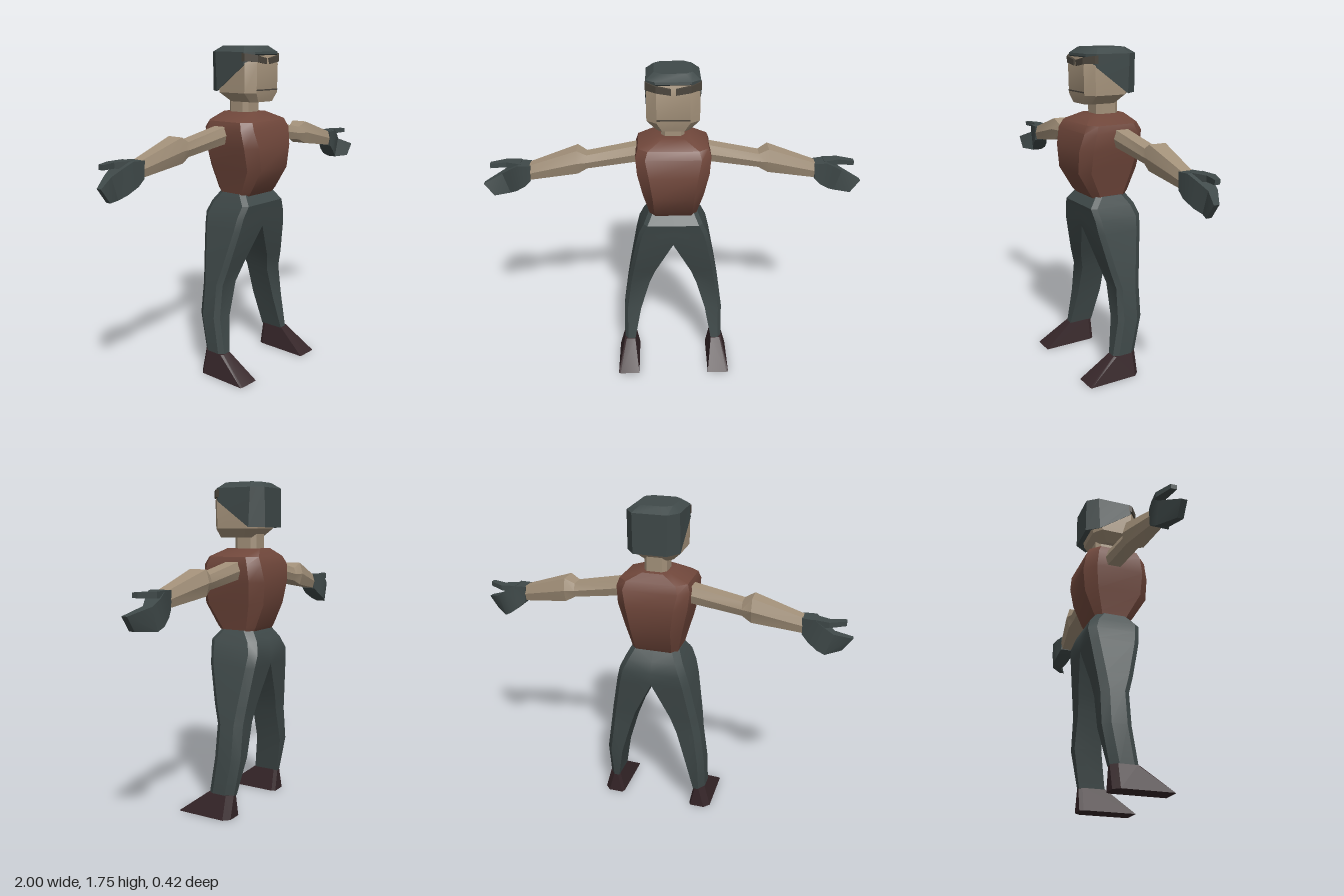
import * as THREE from 'three';
import { mergeVertices, toCreasedNormals } from 'three/addons/utils/BufferGeometryUtils.js';

const mat = (name, color) => Object.assign(new THREE.MeshStandardMaterial({ color }), { name });

// Skin a closed solid over cross-sections; every section is a loop of [x, y, z].
function loft(rings, crease = 0.45) {
  const n = rings[0].length;
  const pos = rings.flat(2);
  const index = [];
  for (let r = 0; r < rings.length - 1; r++) {
    for (let i = 0; i < n; i++) {
      const a = r * n + i, b = r * n + (i + 1) % n;
      index.push(a, b, b + n, a, b + n, a + n);
    }
  }
  const last = (rings.length - 1) * n;
  for (let i = 1; i < n - 1; i++) index.push(0, i + 1, i, last, last + i, last + i + 1);
  // Turn the faces outward when the solid came out inverted
  const p = (i) => new THREE.Vector3().fromArray(pos, i * 3);
  let volume = 0;
  for (let i = 0; i < index.length; i += 3) {
    volume += p(index[i]).dot(p(index[i + 1]).cross(p(index[i + 2])));
  }
  if (volume < 0) index.reverse();
  const geo = new THREE.BufferGeometry();
  geo.setAttribute('position', new THREE.Float32BufferAttribute(pos, 3));
  geo.setIndex(index);
  return toCreasedNormals(mergeVertices(geo), crease);
}

// Horizontal octagon: half width, front z, back z and corner cuts
const octagon = (y, w, f, b, cx, cf, cb = cf) => [
  [w - cx, y, f], [w, y, f - cf], [w, y, b + cb], [w - cx, y, b],
  [cx - w, y, b], [-w, y, b + cb], [-w, y, f - cf], [cx - w, y, f],
];

// Leg section: square inner side, bevelled outer side
const legRing = ([y, xi, xo, f, b]) => [
  [xi, y, f], [xo - 0.02, y, f], [xo, y, f - 0.028],
  [xo, y, b + 0.04], [xo - 0.03, y, b], [xi, y, b],
];

// Arm section across x, with narrower top and bottom
const armRing = ([x, top, low, f, b]) => {
  const inset = (f - b) * 0.14, mid = (top + low) / 2;
  return [[x, top, f - inset], [x, mid, f], [x, low, f - inset],
    [x, low, b + inset], [x, mid, b], [x, top, b + inset]];
};

// Four-cornered section whose top and bottom may lie at different x
const slantRing = ([xt, yt, xb, yb, f, b]) => [[xt, yt, f], [xb, yb, f], [xb, yb, b], [xt, yt, b]];

export function createModel() {
  const skin = mat('skin', 0xa3917a);
  const cloth = mat('dark slate', 0x3f4949);
  const shirt = mat('rust shirt', 0x70473b);
  const leather = mat('dark shoe', 0x362629);
  const browColor = mat('brow', 0x4b453c);

  const model = new THREE.Group();
  model.name = 'figure';
  const add = (name, rings, material, crease) => {
    const mesh = new THREE.Mesh(loft(rings, crease), material);
    mesh.name = name;
    model.add(mesh);
  };

  // Torso
  add('torso', [
    octagon(0.975, 0.125, 0.07, -0.125, 0.03, 0.03),
    octagon(1.0, 0.13, 0.09, -0.14, 0.03, 0.04),
    octagon(1.12, 0.157, 0.163, -0.19, 0.05, 0.05, 0.06),
    octagon(1.24, 0.185, 0.166, -0.207, 0.06, 0.05, 0.06),
    octagon(1.33, 0.193, 0.145, -0.195, 0.05, 0.045, 0.055),
    octagon(1.37, 0.18, 0.125, -0.175, 0.05, 0.04, 0.05),
    octagon(1.412, 0.085, 0.06, -0.14, 0.03, 0.03),
  ], shirt, 0.6);

  // Neck and head
  add('neck', [
    octagon(1.39, 0.06, 0.02, -0.11, 0.02, 0.025),
    octagon(1.5, 0.06, 0.02, -0.11, 0.02, 0.025),
  ], skin);
  add('head', [
    octagon(1.468, 0.085, 0.1, -0.09, 0.03, 0.03),
    octagon(1.515, 0.133, 0.112, -0.14, 0.05, 0.04),
    octagon(1.66, 0.133, 0.116, -0.165, 0.05, 0.04),
    octagon(1.72, 0.125, 0.1, -0.165, 0.045, 0.04),
  ], skin);

  // Hair: lower edge slopes from the temples down to the nape
  const hairLine = [1.71, 1.655, 1.52, 1.52, 1.52, 1.52, 1.655, 1.71];
  add('hair', [
    octagon(0, 0.137, 0.108, -0.186, 0.05, 0.038, 0.07).map(([x, , z], i) => [x, hairLine[i], z]),
    octagon(1.722, 0.135, 0.106, -0.185, 0.045, 0.035, 0.06),
    octagon(1.752, 0.095, 0.07, -0.14, 0.035, 0.03),
  ], cloth);

  // Mouth line
  const mouth = new THREE.Mesh(new THREE.BoxGeometry(0.166, 0.007, 0.006), browColor);
  mouth.name = 'mouth';
  mouth.position.set(0, 1.53, 0.112);
  model.add(mouth);

  for (const s of [1, -1]) {
    const side = s > 0 ? 'left' : 'right';
    const mirror = (rings) => rings.map((ring) => ring.map(([x, y, z]) => [x * s, y, z]));

    // Brow wrapping round the temple
    add(side + 'Brow', mirror([
      [0.012, 1.69, 1.66, 0.122, 0.1], [0.085, 1.705, 1.672, 0.122, 0.1], [0.138, 1.715, 1.675, 0.08, 0.06],
    ].map(([x, t, l, f, b]) => slantRing([x, t, x, l, f, b]))), browColor);

    // Trouser leg, joined to its twin above the crotch
    add(side + 'Leg', mirror([
      [0.985, 0, 0.13, 0.06, -0.125], [0.93, 0, 0.158, 0.106, -0.165], [0.87, 0, 0.185, 0.095, -0.185],
      [0.8, 0, 0.203, 0.085, -0.178], [0.6, 0.1, 0.242, 0.037, -0.152], [0.5, 0.135, 0.259, 0.008, -0.14],
      [0.32, 0.187, 0.284, 0.01, -0.14], [0.12, 0.225, 0.286, 0.043, -0.1],
    ].map(legRing)), cloth);

    // Wedge shoe
    add(side + 'Shoe', mirror([
      [0.125, 0.225, 0.286, 0.045, 0.03], [0.0, 0.2, 0.32, 0.21, 0.205],
    ].map(([y, xi, xo, f, c]) => [
      [xi, y, f], [xo - 0.01, y, f], [xo, y, c], [xo, y, -0.068],
      [xo - 0.03, y, -0.1], [xi + 0.01, y, -0.1], [xi, y, -0.08],
    ])), leather);

    // Bare arm with a thick elbow
    add(side + 'Arm', mirror([
      [0.15, 1.352, 1.26, 0, -0.1], [0.45, 1.292, 1.218, 0, -0.1], [0.5, 1.32, 1.192, 0.012, -0.118],
      [0.76, 1.235, 1.155, 0, -0.078],
    ].map(armRing)), skin);

    // Gloved hand with curled fingers, and thumb
    add(side + 'Hand', mirror([
      [0.745, 1.238, 0.752, 1.152, 0.002, -0.078], [0.81, 1.24, 0.785, 1.12, 0, -0.092],
      [0.86, 1.21, 0.835, 1.085, -0.02, -0.104], [0.905, 1.178, 0.873, 1.065, -0.042, -0.095],
      [0.998, 1.14, 0.95, 1.07, 0, -0.03],
    ].map(slantRing)), cloth);
    add(side + 'Thumb', mirror([
      [0.8, 1.242, 0.8, 1.2, -0.02, -0.09], [0.88, 1.24, 0.88, 1.212, -0.05, -0.1],
      [0.96, 1.24, 0.96, 1.216, -0.03, -0.06],
    ].map(slantRing)), cloth);
  }
  return model;
}
